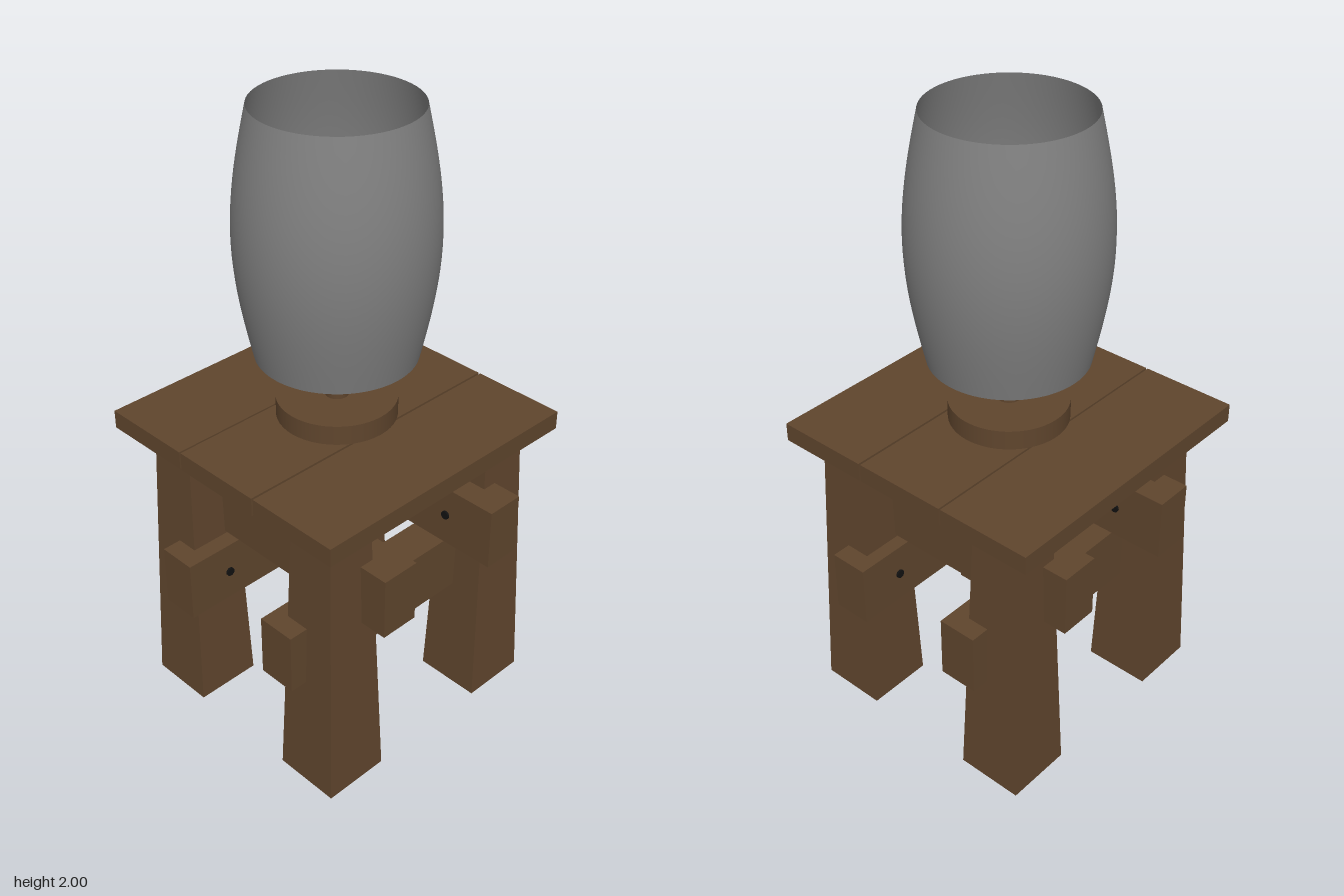
import * as THREE from 'three';

const wood = new THREE.MeshStandardMaterial({ color: 0x5f452d });
const iron = new THREE.MeshStandardMaterial({ color: 0x111111 });
const shadeGrey = new THREE.MeshStandardMaterial({ color: 0x808080, side: THREE.DoubleSide });

const LEG_X = 0.304, LEG_Z = 0.325, LEG_HEIGHT = 0.96;

function add(parent, name, geometry, material, x, y, z) {
  const mesh = new THREE.Mesh(geometry, material);
  mesh.name = name;
  mesh.position.set(x, y, z);
  parent.add(mesh);
  return mesh;
}

// Box standing on y = 0 that narrows towards the top
function taperedBox(bottom, top, height) {
  const geometry = new THREE.BoxGeometry(bottom, height, bottom).translate(0, height / 2, 0);
  const p = geometry.attributes.position;
  for (let i = 0; i < p.count; i++) {
    const s = THREE.MathUtils.lerp(1, top / bottom, p.getY(i) / height);
    p.setX(i, p.getX(i) * s);
    p.setZ(i, p.getZ(i) * s);
  }
  geometry.computeVertexNormals();
  return geometry;
}

function createTable() {
  const table = new THREE.Group();
  table.name = 'table';

  // Three top boards with narrow gaps
  [[-0.485, -0.175], [-0.169, 0.14], [0.147, 0.456]].forEach(([x0, x1]) =>
    add(table, 'topBoard', new THREE.BoxGeometry(x1 - x0, 0.06, 0.957), wood, (x0 + x1) / 2, 0.99, -0.001));

  // Tapered legs
  const leg = taperedBox(0.22, 0.157, LEG_HEIGHT);
  for (const sx of [-1, 1])
    for (const sz of [-1, 1])
      add(table, 'leg', leg, wood, sx * LEG_X - 0.003, 0, sz * LEG_Z);

  const nail = new THREE.CylinderGeometry(0.014, 0.014, 0.03, 16);
  for (const s of [-1, 1]) {
    // Upper rails run side to side, nailed to the legs from inside
    add(table, 'upperRail', new THREE.BoxGeometry(0.957, 0.203, 0.127), wood, 0.003, 0.711, s * 0.2265);
    // Lower rails run front to back
    add(table, 'lowerRail', new THREE.BoxGeometry(0.127, 0.203, 0.957), wood, s * 0.2265 + 0.002, 0.498, 0.001);

    for (const t of [-1, 1]) {
      add(table, 'nail', nail, iron, t * LEG_X, 0.715, s * 0.171).rotation.x = Math.PI / 2;
      add(table, 'nail', nail, iron, s * 0.171 + 0.002, 0.498, t * LEG_Z).rotation.z = Math.PI / 2;
    }
  }
  return table;
}

function createLamp() {
  const lamp = new THREE.Group();
  lamp.name = 'lamp';
  lamp.position.set(-0.013, 0, -0.004);

  add(lamp, 'lampBase', new THREE.CylinderGeometry(0.185, 0.185, 0.063, 48), wood, 0, 1.054, 0);
  add(lamp, 'lampStem', new THREE.CylinderGeometry(0.036, 0.036, 0.2, 32), wood, 0, 1.18, 0);

  // Open barrel-shaped shade
  const profile = [];
  for (let i = 0; i <= 24; i++) {
    const u = i / 24;
    profile.push(new THREE.Vector2(0.245 + 0.053 * Math.sin(Math.PI * u), 0.765 * u));
  }
  add(lamp, 'lampShade', new THREE.LatheGeometry(profile, 64), shadeGrey, 0, 1.235, 0);
  return lamp;
}

export function createModel() {
  const model = new THREE.Group();
  model.name = 'tableWithLamp';
  model.add(createTable(), createLamp());
  return model;
}
